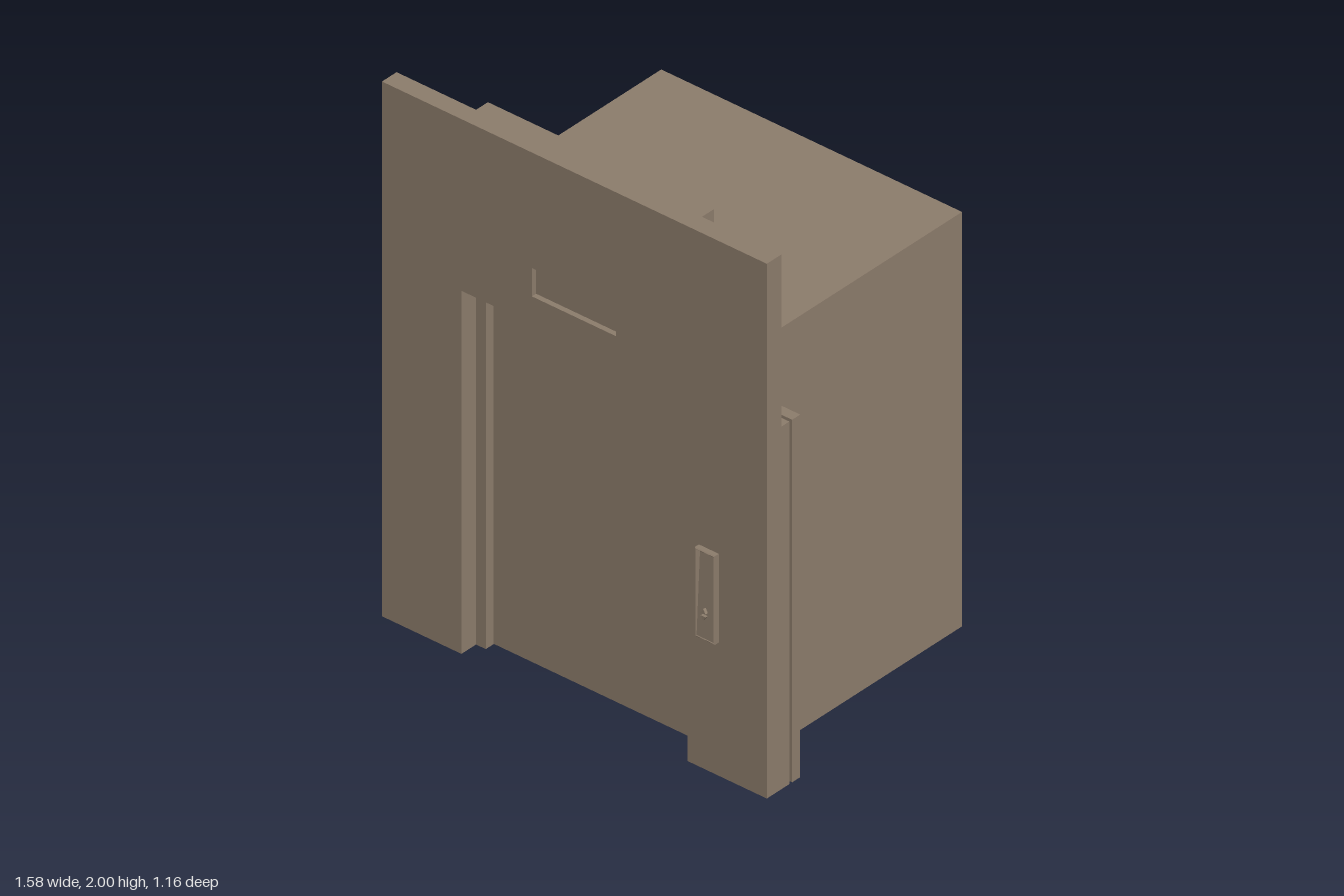
import * as THREE from 'three';

const mat = new THREE.MeshStandardMaterial({ color: 0x8d7d6c, flatShading: true });

export function createModel() {
  const root = new THREE.Group();
  root.name = 'elevator';

  const add = (name, geo, parent = root) => {
    const m = new THREE.Mesh(geo, mat);
    m.name = name;
    parent.add(m);
    return m;
  };
  // Box given by its minimum and maximum along each axis
  const box = (name, x0, x1, y0, y1, z0, z1) => {
    const g = new THREE.BoxGeometry(x1 - x0, y1 - y0, z1 - z0);
    g.translate((x0 + x1) / 2, (y0 + y1) / 2, (z0 + z1) / 2);
    return add(name, g);
  };
  const rect = (T, x0, x1, y0, y1) => new T([
    new THREE.Vector2(x0, y0), new THREE.Vector2(x1, y0),
    new THREE.Vector2(x1, y1), new THREE.Vector2(x0, y1),
  ]);
  const extrude = (shape, depth, z, bevel = 0) => new THREE.ExtrudeGeometry(shape, {
    depth, bevelEnabled: bevel > 0, bevelSize: bevel, bevelThickness: bevel,
    bevelOffset: -bevel, bevelSegments: 1,
  }).translate(0, 0, z);

  // Front wall: doorway cut up from the floor, window for the floor indicator
  const W = 0.792, D = 0.465, H = 1.358;
  const wall = new THREE.Shape([
    [-W, 0], [-D, 0], [-D, H], [D, H], [D, 0], [W, 0], [W, 2], [-W, 2],
  ].map(([x, y]) => new THREE.Vector2(x, y)));
  wall.holes.push(rect(THREE.Path, -0.175, 0.172, 1.462, 1.568));
  add('frontWall', extrude(wall, 0.07, 0.485));

  // Thicker header behind the wall; closes the indicator recess
  box('doorHeader', -D, D, H, 2, 0.428, 0.485);
  box('indicatorPanel', -0.175, 0.172, 1.462, 1.568, 0.486, 0.535);

  // Landing doors slid open and car door panels behind them
  for (const s of [-1, 1]) {
    const [a, b] = s < 0 ? [-W, -0.425] : [0.425, W];
    box(s < 0 ? 'rightLandingDoor' : 'leftLandingDoor', a, b, 0, H - 0.002, 0.447, 0.485);
    const [c, d] = s < 0 ? [-W, 0] : [0, W];
    box(s < 0 ? 'rightCarDoor' : 'leftCarDoor', c, d, 0, H - 0.002, 0.395, 0.434);
  }
  box('closedDoorFace', -D, D, 0, H - 0.003, 0.434, 0.446);

  // Car with a roof that overhangs the door track
  box('car', -0.62, 0.618, 0, 1.52, -0.582, 0.395);
  box('carRoof', -0.62, 0.618, 1.52, 1.55, -0.582, 0.427);

  // Call panel: chamfered frame around a sloping face
  const panel = new THREE.Group();
  panel.name = 'callPanel';
  root.add(panel);
  const frame = rect(THREE.Shape, 0.514, 0.596, 0.5, 0.832);
  frame.holes.push(rect(THREE.Path, 0.521, 0.589, 0.507, 0.825));
  add('callPanelFrame', extrude(frame, 0.018, 0.557, 0.003), panel);
  const side = new THREE.Shape([
    [0.555, 0.505], [0.576, 0.505], [0.559, 0.827], [0.555, 0.827],
  ].map(([z, y]) => new THREE.Vector2(-z, y)));
  const face = new THREE.ExtrudeGeometry(side, { depth: 0.072, bevelEnabled: false });
  face.rotateY(Math.PI / 2).translate(0.519, 0, 0);
  // Extruded profile runs along x with its depth axis flipped back to +z
  add('callPanelFace', face, panel);

  // Up and down call buttons
  for (const [name, y, s] of [['upButton', 0.61, 1], ['downButton', 0.585, -1]]) {
    const tri = new THREE.Shape([
      [-0.01, -0.007 * s], [0.01, -0.007 * s], [0, 0.009 * s],
    ].map(([x, v]) => new THREE.Vector2(x, v)));
    add(name, extrude(tri, 0.02, 0.562), panel).position.set(0.553, y, 0);
  }
  return root;
}
